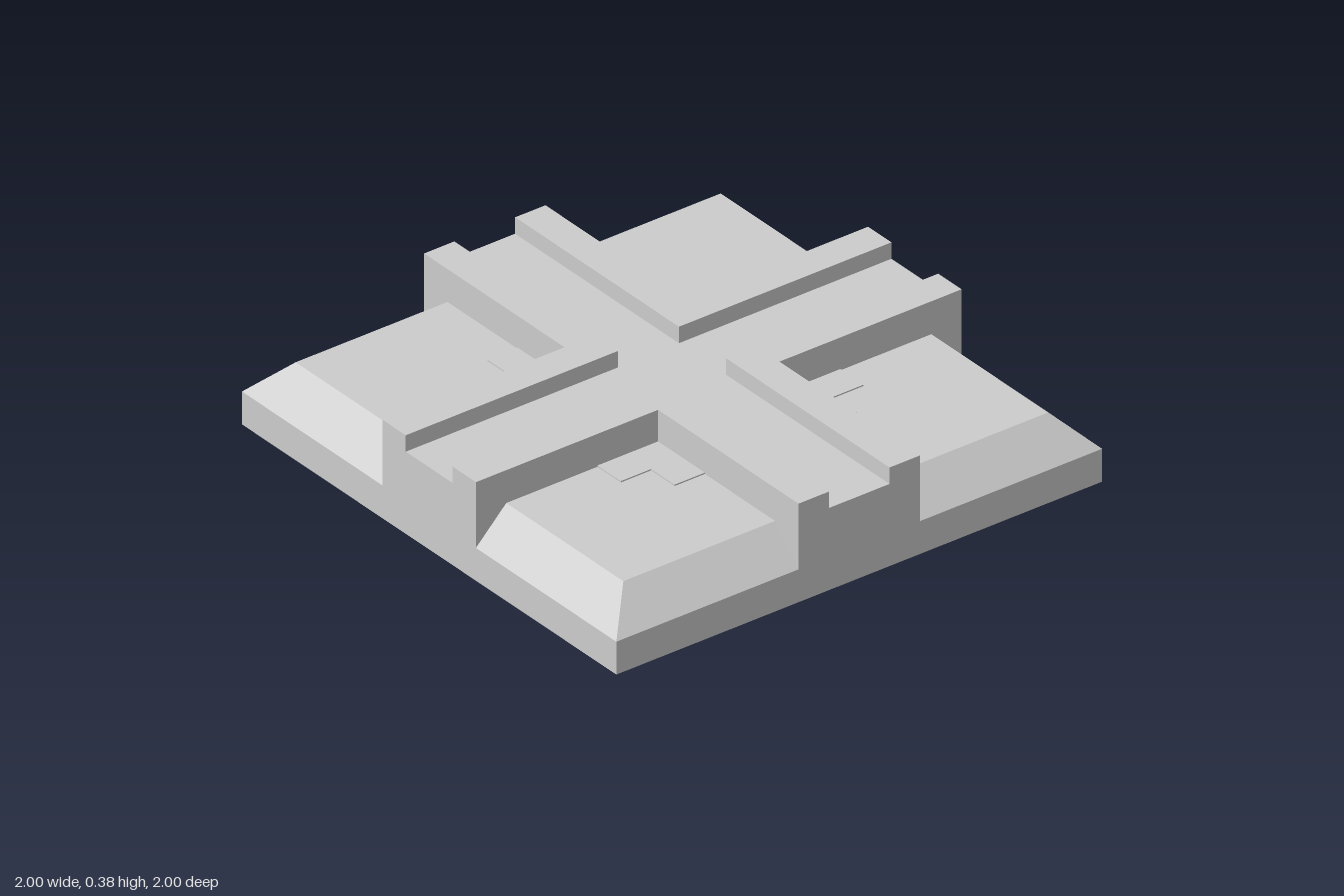
import * as THREE from 'three';

const EDGE = 1, OUTER = 0.25, INNER = 0.125;
const material = new THREE.MeshStandardMaterial({ color: 0xcccccc, flatShading: true });

function addMesh(parent, name, geometry) {
  const mesh = new THREE.Mesh(geometry, material);
  mesh.name = name;
  parent.add(mesh);
  return mesh;
}

// Flat plan outline (x, z) raised from y0 to y1
function slab(points, y0, y1) {
  const shape = new THREE.Shape(points.map(([x, z]) => new THREE.Vector2(x, -z)));
  const geometry = new THREE.ExtrudeGeometry(shape, { depth: y1 - y0, bevelEnabled: false });
  return geometry.rotateX(-Math.PI / 2).translate(0, y0, 0);
}

// L outline hugging the inner corner of one quadrant
const ell = (near, far, end) => [
  [near, near], [end, near], [end, far], [far, far], [far, end], [near, end],
];

export function createModel() {
  const group = new THREE.Group();
  group.name = 'crossroadTile';

  // Square base plate
  addMesh(group, 'basePlate', new THREE.BoxGeometry(2, 0.125, 2).translate(0, 0.0625, 0));

  // Bevelled ground: a four-sided frustum
  const ground = new THREE.CylinderGeometry(0.875 * Math.SQRT2, Math.SQRT2, 0.125, 4);
  addMesh(group, 'bevelledGround', ground.rotateY(Math.PI / 4).translate(0, 0.1875, 0));

  // Raised cross, whose top is the floor of the channels
  const cross = [];
  for (let i = 0; i < 4; i++) {
    const c = Math.round(Math.cos(i * Math.PI / 2)), s = Math.round(Math.sin(i * Math.PI / 2));
    for (const [x, z] of [[EDGE, -OUTER], [EDGE, OUTER], [OUTER, OUTER]]) {
      cross.push([x * c - z * s, x * s + z * c]);
    }
  }
  addMesh(group, 'raisedCross', slab(cross, 0.125, 0.3125));

  // Kerb and small stepped ledge in each quadrant
  for (let i = 0; i < 4; i++) {
    const quadrant = new THREE.Group();
    quadrant.name = 'quadrant' + (i + 1);
    quadrant.rotation.y = i * Math.PI / 2;
    addMesh(quadrant, 'kerb', slab(ell(INNER, OUTER, EDGE), 0.3125, 0.375));
    addMesh(quadrant, 'steppedLedge', slab(ell(OUTER, 0.375, 0.5), 0.25, 0.255));
    group.add(quadrant);
  }
  return group;
}
